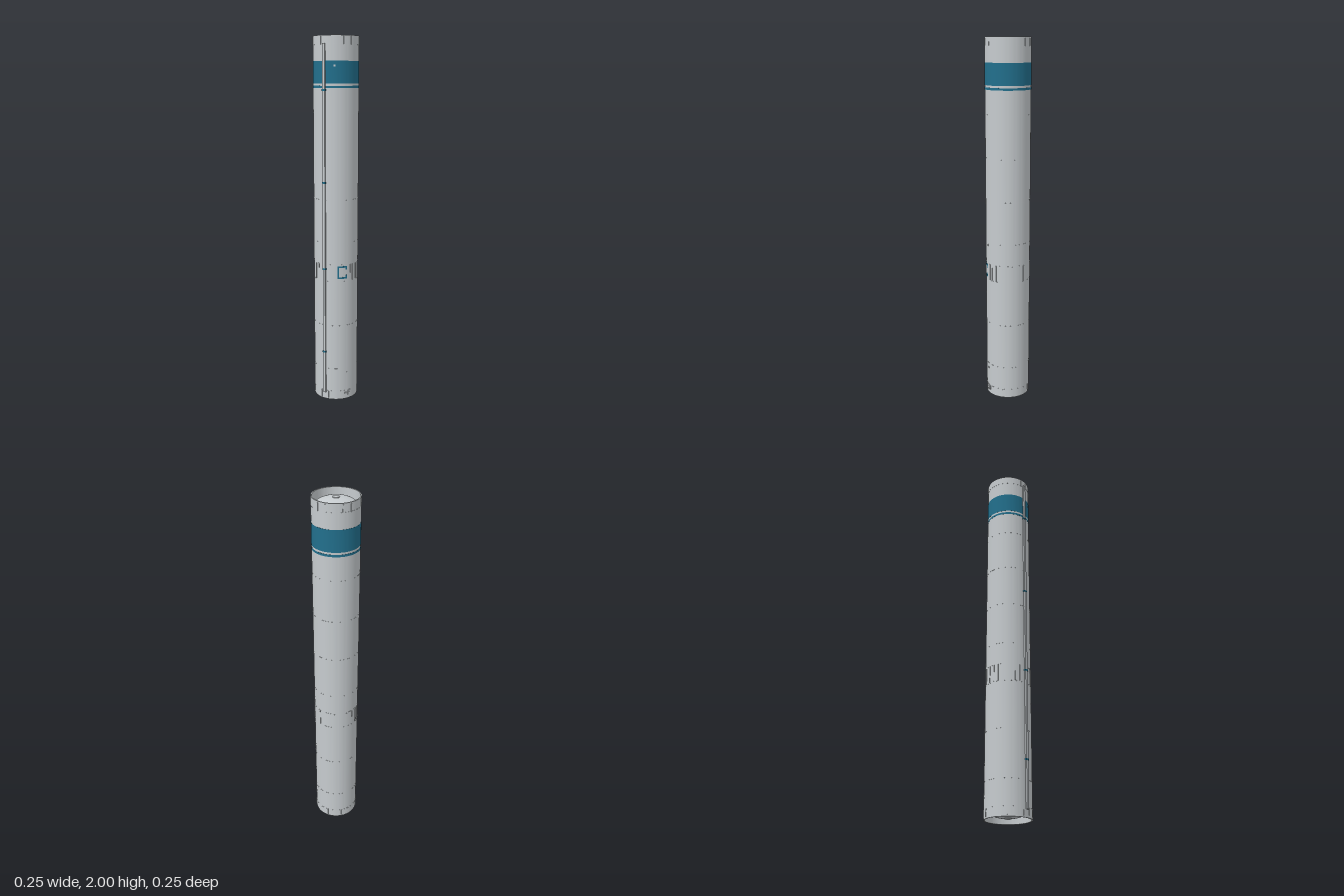
import * as THREE from 'three';
import { toCreasedNormals } from 'three/addons/utils/BufferGeometryUtils.js';

const R = 0.122;       // hull radius
const INNER = 0.116;   // skirt inner radius
const DEG = Math.PI / 180;

export function createModel() {
  const root = new THREE.Group();
  root.name = 'rocketStage';
  const stage = new THREE.Group();
  stage.name = 'stage';
  stage.position.z = -0.003;
  root.add(stage);

  const mat = (name, color) => {
    const m = new THREE.MeshStandardMaterial({ color });
    m.name = name;
    return m;
  };
  const grey = mat('hullGrey', 0xc6cbce);
  const blue = mat('tealBlue', 0x226f8c);

  const add = (name, geometry, material) => {
    const mesh = new THREE.Mesh(geometry, material);
    mesh.name = name;
    stage.add(mesh);
    return mesh;
  };
  const lathe = (name, pts, material, start = 0, sweep = 360) => {
    const segs = Math.max(2, Math.round(sweep / 4));
    const g = new THREE.LatheGeometry(pts.map(p => new THREE.Vector2(p[0], p[1])), segs, start * DEG, sweep * DEG);
    return add(name, toCreasedNormals(g, 0.6), material);
  };
  // Raised curved plate or full ring; angle 0 is the front, 90 is the left
  const plate = (name, y0, y1, raise, material, start, sweep) => lathe(name,
    [[R - 0.001, y0], [R + raise, y0], [R + raise, y1], [R - 0.001, y1], [R - 0.001, y0]], material, start, sweep);
  // Small box standing on the hull
  const block = (name, angle, y, w, h, out, material) => {
    const mesh = add(name, new THREE.BoxGeometry(w, h, out + 0.003), material);
    const r = R + (out - 0.003) / 2, a = angle * DEG;
    mesh.position.set(Math.sin(a) * r, y, Math.cos(a) * r);
    mesh.rotation.y = a;
    return mesh;
  };

  // Hull with an open skirt at each end
  lathe('hull', [[INNER, 0.07], [INNER, 0], [R, 0], [R, 2], [INNER, 2], [INNER, 1.93]], grey);

  // Tank domes with round hatch caps
  const topDome = [], bottomDome = [];
  for (let i = 0; i <= 14; i++) {
    const a = i / 14 * Math.PI / 2;
    const r = Math.max(0, INNER * Math.cos(a)), rise = 0.055 * Math.sin(a);
    topDome.push([r, 1.935 + rise]);
    bottomDome.unshift([r, 0.065 - rise]);
  }
  lathe('topDome', topDome, grey);
  lathe('bottomDome', bottomDome, grey);
  for (const [name, y] of [['topHatch', 1.99], ['bottomHatch', 0.01]]) {
    add(name, new THREE.CylinderGeometry(0.018, 0.018, 0.006, 32), grey).position.y = y;
  }

  // Weld seams
  for (const y of [0.05, 0.185, 0.44, 0.695, 0.79, 0.91, 1.145, 1.375, 1.605, 1.955]) {
    plate('weldSeam', y - 0.001, y + 0.001, 0.0005, grey);
  }

  // Painted bands
  plate('wideBand', 1.757, 1.872, 0.0006, blue);
  plate('narrowBand', 1.734, 1.746, 0.0006, blue);
  block('bandMark', 27, 1.847, 0.01, 0.01, 0.0015, grey);

  // Stiffener ribs on the middle band and both skirts
  for (const a of [-150, -118, -100, -86, -74, -30, -18, 24, 30, 70, 78, 92, 105, 135, 168]) {
    block('middleRib', a, 0.743, 0.004, 0.09, 0.003, grey);
  }
  for (let i = 0; i < 12; i++) {
    const a = 15 + i * 30 + (i % 2 ? 5 : -5);
    block('bottomRib', a, 0.028, 0.004, 0.04, 0.0025, grey);
    block('topRib', a, 1.974, 0.004, 0.04, 0.0025, grey);
  }

  // Cable duct down the front, with clips
  block('cableDuct', 0, 1, 0.015, 1.92, 0.0085, grey);
  for (const y of [0.285, 0.765, 1.24, 1.725]) {
    block('ductClip', 0, y, 0.02, 0.009, 0.0095, blue);
  }

  // Access door with a painted frame
  plate('accessDoor', 0.72, 0.773, 0.001, grey, 36, 22);
  plate('doorFrameBottom', 0.711, 0.72, 0.0016, blue, 34, 26);
  plate('doorFrameTop', 0.773, 0.782, 0.0016, blue, 34, 26);
  plate('doorFrameRight', 0.711, 0.782, 0.0016, blue, 34, 4.5);
  plate('doorFrameLeftLower', 0.711, 0.732, 0.0016, blue, 55.5, 4.5);
  plate('doorFrameLeftUpper', 0.761, 0.782, 0.0016, blue, 55.5, 4.5);

  // Small vents and the service connector
  for (const [a, y] of [[61, 0.895], [27, 0.595], [61, 0.157]]) {
    block('vent', a, y, 0.008, 0.009, 0.003, grey);
  }
  block('serviceConnector', 61, 0.034, 0.03, 0.008, 0.004, grey);
  block('servicePort', 64, 0.034, 0.008, 0.022, 0.005, grey);

  return root;
}
